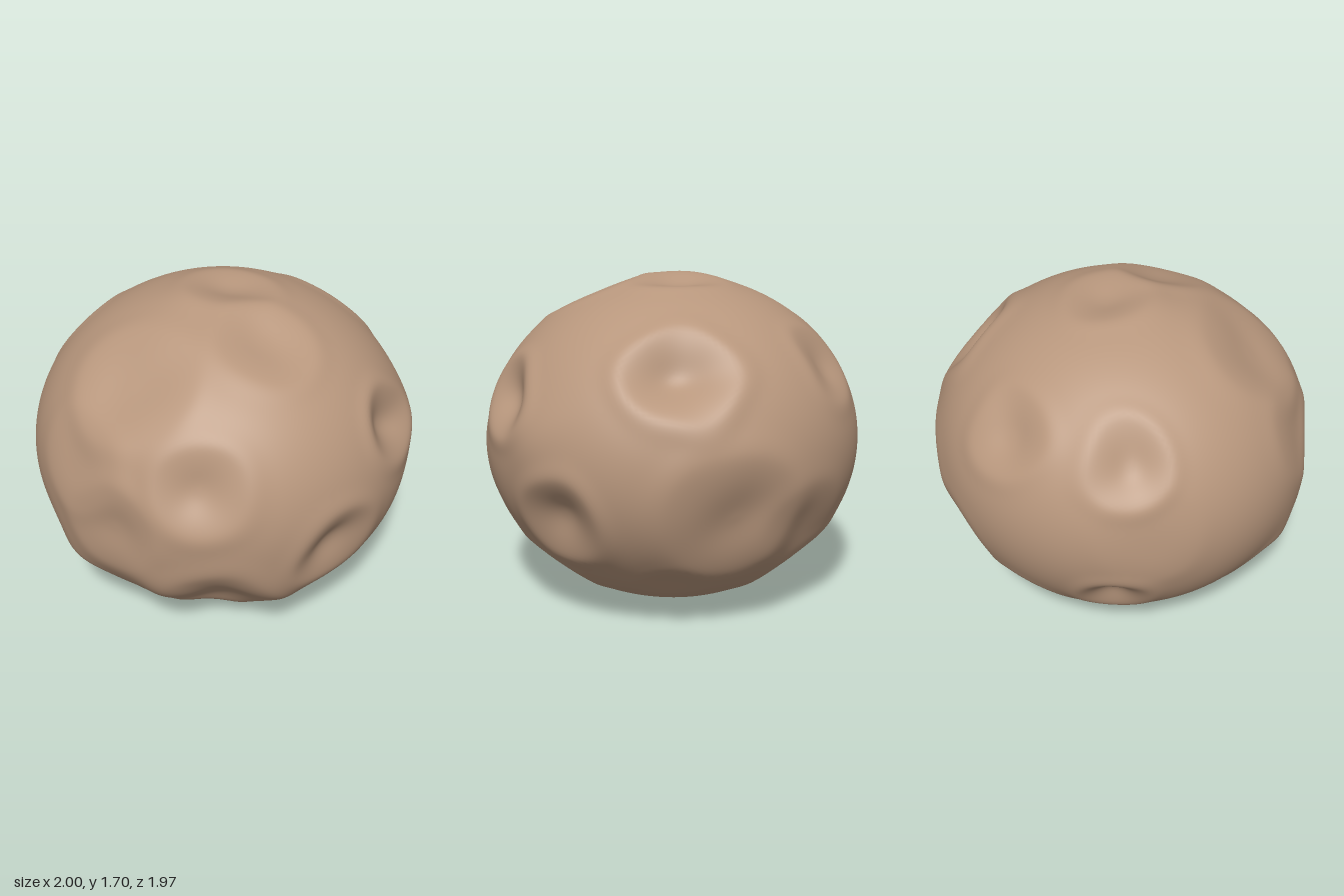
import * as THREE from 'three';
import { mergeVertices } from 'three/addons/utils/BufferGeometryUtils.js';

// Overall size: half-width, half-height, half-depth
const RADII = new THREE.Vector3(0.997, 0.855, 0.985);
const BASE_Y = -0.84;

// Craters: point near the surface, radius, depth
const CRATERS = [
  // front
  [[-0.36, 0.27, 0.86], 0.23, 0.06],
  [[0.31, -0.17, 0.9], 0.23, 0.075],
  [[-0.26, -0.47, 0.77], 0.28, 0.06],
  [[-0.74, -0.05, 0.6], 0.25, 0.045],
  [[-0.2, -0.72, 0.5], 0.18, 0.03],
  [[0.71, 0.29, 0.58], 0.21, 0.085],
  // top
  [[-0.52, 0.58, 0.34], 0.31, 0.05],
  [[-0.85, 0.25, 0.4], 0.24, 0.025],
  [[0.08, 0.75, 0.4], 0.24, 0.045],
  [[0.06, 0.85, -0.04], 0.22, 0.045],
  // one flank
  [[0.71, 0.48, -0.37], 0.255, 0.11],
  [[0.93, -0.26, 0.17], 0.23, 0.08],
  [[0.68, -0.2, -0.63], 0.33, 0.065],
  [[0.54, -0.63, 0.4], 0.21, 0.05],
  [[0.65, -0.6, -0.3], 0.16, 0.01],
  // back
  [[-0.03, 0.45, -0.82], 0.21, 0.045],
  [[-0.6, 0.43, -0.6], 0.2, 0.06],
  [[-0.73, 0.08, -0.58], 0.25, 0.015],
  [[-0.56, -0.36, -0.63], 0.18, 0.065],
  [[0.3, -0.28, -0.82], 0.24, 0.025],
  [[0, -0.6, -0.66], 0.25, 0.055],
  // lower flank and underside
  [[-0.74, -0.56, 0.2], 0.21, 0.05],
  [[0.13, -0.82, -0.2], 0.2, 0.01],
].map(toFeature);

// Rounded swellings: point near the surface, radius, height
const LUMPS = [
  [[-0.86, -0.38, 0.3], 0.18, 0.04],
  [[-0.52, -0.38, 0.76], 0.18, 0.03],
  [[0, -0.42, 0.86], 0.2, 0.035],
  [[-0.2, 0.84, 0], 0.18, 0.012],
  [[0.9, 0.16, 0.34], 0.18, 0.02],
].map(toFeature);

function toFeature([point, radius, height]) {
  // Project the point onto the smooth ellipsoid
  const centre = new THREE.Vector3(...point).divide(RADII).normalize().multiply(RADII);
  return { centre, radius, height };
}

// Soft bowl with a low rim; t is the distance in crater radii
function craterHeight(t, depth) {
  const bowl = 1 - THREE.MathUtils.smoothstep(t, 0.05, 1.12);
  const rim = Math.exp(-(((t - 1.15) / 0.25) ** 2));
  return depth * (0.1 * rim - bowl);
}

function createRockGeometry() {
  let geometry = new THREE.IcosahedronGeometry(1, 48);
  geometry.deleteAttribute('normal');
  geometry.deleteAttribute('uv');
  geometry = mergeVertices(geometry, 1e-5);

  const pos = geometry.attributes.position;
  const p = new THREE.Vector3();
  const n = new THREE.Vector3();
  const q = new THREE.Vector3();
  for (let i = 0; i < pos.count; i++) {
    p.fromBufferAttribute(pos, i).multiply(RADII);
    n.copy(p).divide(RADII).divide(RADII).normalize();
    // Slightly warped position makes the rims irregular
    q.set(
      p.x + 0.02 * Math.sin(11 * p.y + 5 * p.z),
      p.y + 0.02 * Math.sin(12 * p.z + 4 * p.x),
      p.z + 0.02 * Math.sin(10 * p.x - 6 * p.y)
    );
    let h = 0;
    for (const c of CRATERS) h += craterHeight(q.distanceTo(c.centre) / c.radius, c.height);
    for (const l of LUMPS) h += l.height * Math.exp(-((q.distanceTo(l.centre) / l.radius) ** 2));
    p.addScaledVector(n, h);
    // Flattened underside
    pos.setXYZ(i, p.x, Math.max(p.y, BASE_Y), p.z);
  }

  // Centre on the origin and rest on the ground
  geometry.computeBoundingBox();
  const { min, max } = geometry.boundingBox;
  geometry.translate(-(min.x + max.x) / 2, -min.y, -(min.z + max.z) / 2);
  geometry.computeVertexNormals();
  return geometry;
}

export function createModel() {
  const group = new THREE.Group();
  group.name = 'asteroid';
  const rock = new THREE.Mesh(
    createRockGeometry(),
    new THREE.MeshStandardMaterial({ color: 0xb8977d })
  );
  rock.name = 'crateredRock';
  group.add(rock);
  return group;
}
